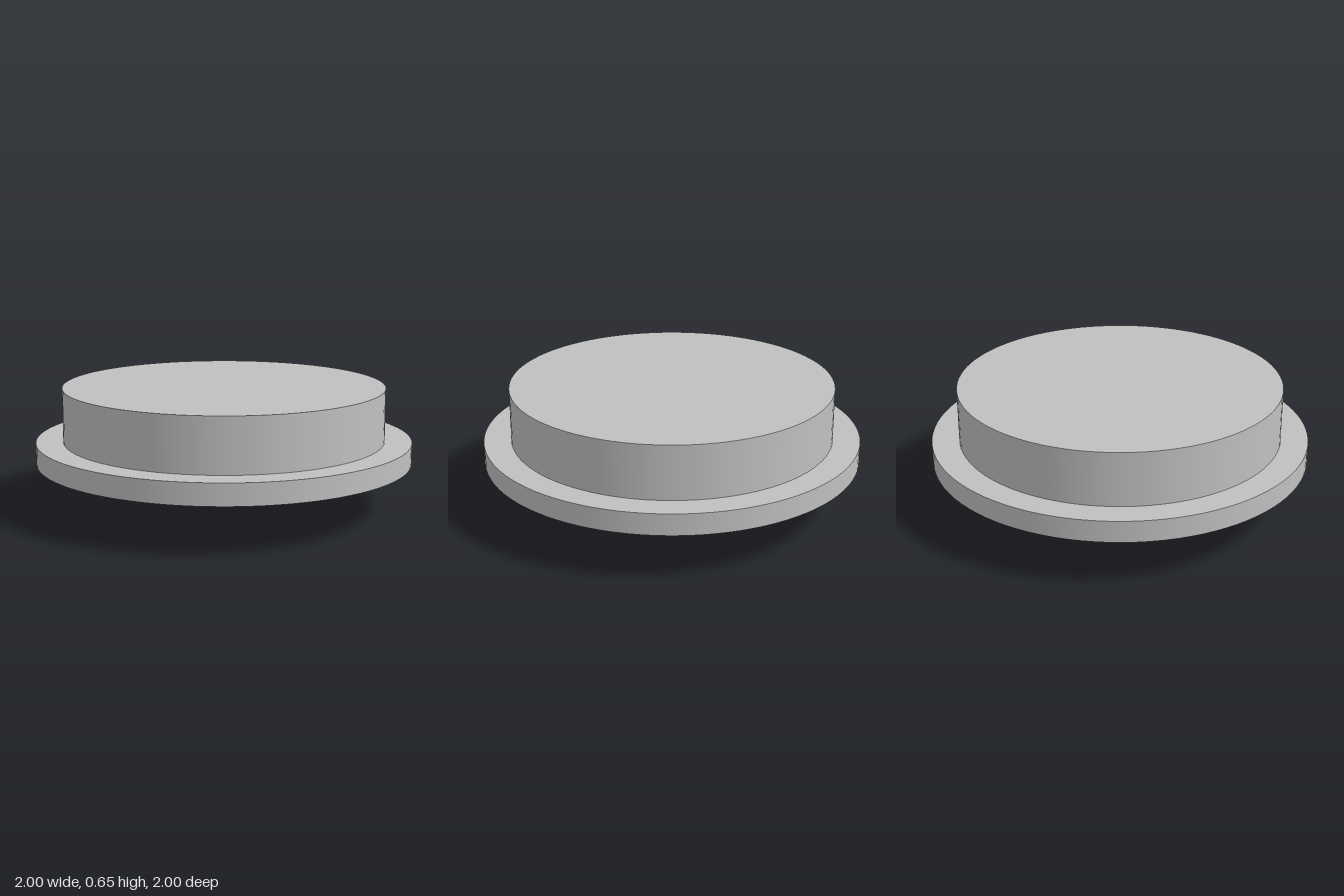
import * as THREE from 'three';

export function createModel() {
  const group = new THREE.Group();
  const grey = new THREE.MeshStandardMaterial({ color: 0xc0c0c0 });
  grey.name = 'grey';

  // Upright cylinder between two heights
  const disc = (name, radius, bottom, top) => {
    const height = top - bottom;
    const mesh = new THREE.Mesh(new THREE.CylinderGeometry(radius, radius, height, 96), grey);
    mesh.name = name;
    mesh.position.y = bottom + height / 2;
    group.add(mesh);
  };

  disc('stem', 0.084, 0, 0.254);
  disc('flange', 1, 0.254, 0.367);
  disc('body', 0.856, 0.367, 0.652);

  return group;
}
